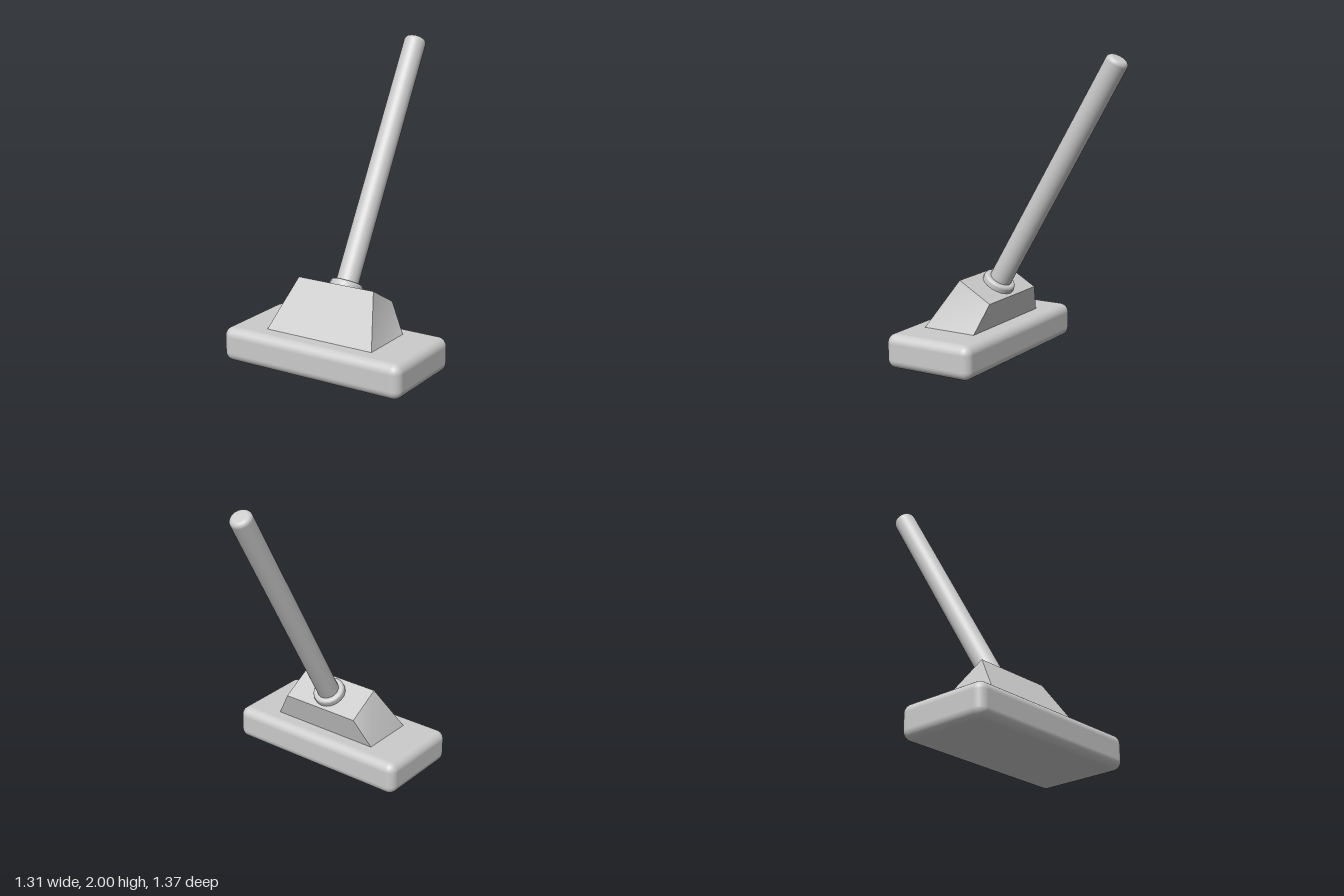
import * as THREE from 'three';
import { RoundedBoxGeometry } from 'three/addons/geometries/RoundedBoxGeometry.js';

const material = new THREE.MeshStandardMaterial({ color: 0xcccccc });

function addPart(parent, name, geometry) {
  const mesh = new THREE.Mesh(geometry, material);
  mesh.name = name;
  parent.add(mesh);
  return mesh;
}

// Closed cylinder from y0 to y1 with rounded top rim
function roundedRod(radius, y0, y1, bevel, sides) {
  const points = [new THREE.Vector2(0, y0), new THREE.Vector2(radius, y0), new THREE.Vector2(radius, y0 + 0.001)];
  for (let i = 0; i <= 5; i++) {
    const a = (i / 5) * Math.PI / 2;
    points.push(new THREE.Vector2(radius - bevel + bevel * Math.cos(a), y1 - bevel + bevel * Math.sin(a)));
  }
  points.push(new THREE.Vector2(0, y1));
  return new THREE.LatheGeometry(points, sides);
}

// Wedge block: wide flat base, narrower top that slopes down to the rear
function wedgeBlock() {
  const geometry = new THREE.BoxGeometry(2, 2, 2);
  const p = geometry.attributes.position;
  for (let i = 0; i < p.count; i++) {
    const top = p.getY(i) > 0, front = p.getZ(i) > 0;
    const x = p.getX(i) * (top ? 0.28 : 0.39);
    if (top) p.setXYZ(i, x, front ? 0.54 : 0.41, front ? 0.355 : 0.128);
    else p.setXYZ(i, x, 0.225, front ? 0.555 : 0.18);
  }
  geometry.computeVertexNormals();
  return geometry;
}

export function createModel() {
  const model = new THREE.Group();
  model.name = 'scrubBrush';

  // Thick rounded pad on the floor
  const pad = addPart(model, 'pad', new RoundedBoxGeometry(1.31, 0.226, 0.634, 5, 0.06));
  pad.position.set(0, 0.113, 0.368);

  // Sloped mount on the pad
  addPart(model, 'mount', wedgeBlock());

  // Handle and collar, square to the sloped face
  const handle = new THREE.Group();
  handle.name = 'handleAssembly';
  handle.position.set(0, 0.475, 0.24);
  handle.rotation.x = -Math.PI / 6;
  model.add(handle);
  addPart(handle, 'collar', roundedRod(0.108, -0.02, 0.045, 0.02, 18));
  addPart(handle, 'handle', roundedRod(0.073, -0.03, 1.738, 0.032, 32));

  return model;
}
